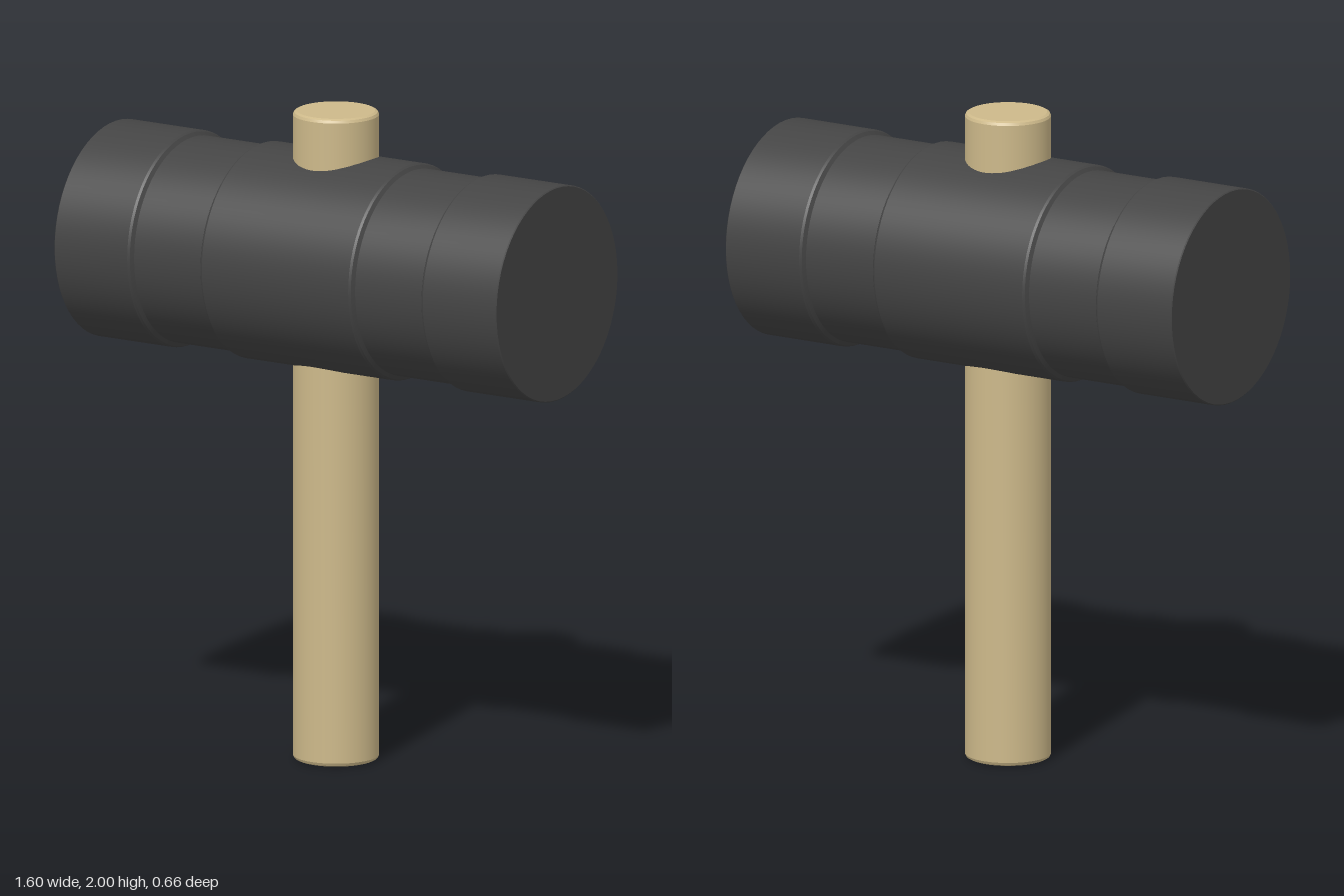
import * as THREE from 'three';
import { toCreasedNormals } from 'three/addons/utils/BufferGeometryUtils.js';

// Solid of revolution about y with crisp rims and smooth sides
function turned(name, profile, color) {
  const points = profile.map(([r, y]) => new THREE.Vector2(r, y));
  const geometry = toCreasedNormals(new THREE.LatheGeometry(points, 64), 0.4);
  const mesh = new THREE.Mesh(geometry, new THREE.MeshStandardMaterial({ color }));
  mesh.name = name;
  return mesh;
}

export function createModel() {
  const model = new THREE.Group();
  model.name = 'mallet';

  // Round handle with slightly eased ends, running right through the head
  const R = 0.13, ease = 0.012;
  model.add(turned('handle', [
    [0, 0], [R - ease, 0], [R - 0.004, 0.004], [R, ease],
    [R, 2 - ease], [R - 0.004, 1.996], [R - ease, 2], [0, 2],
  ], 0xcdb98a));

  // Head: half profile from the middle outward, with a shallow bevelled groove
  const half = [
    [0.33, 0.265], [0.326, 0.272], [0.315, 0.28],
    [0.315, 0.52], [0.326, 0.528], [0.33, 0.535],
    [0.33, 0.797], [0.327, 0.8], [0, 0.8],
  ];
  const mirrored = half.map(([r, y]) => [r, -y]).reverse();
  const head = turned('head', [...mirrored, ...half], 0x444444);
  head.rotation.z = -Math.PI / 2;
  head.position.y = 1.535;
  model.add(head);

  return model;
}
